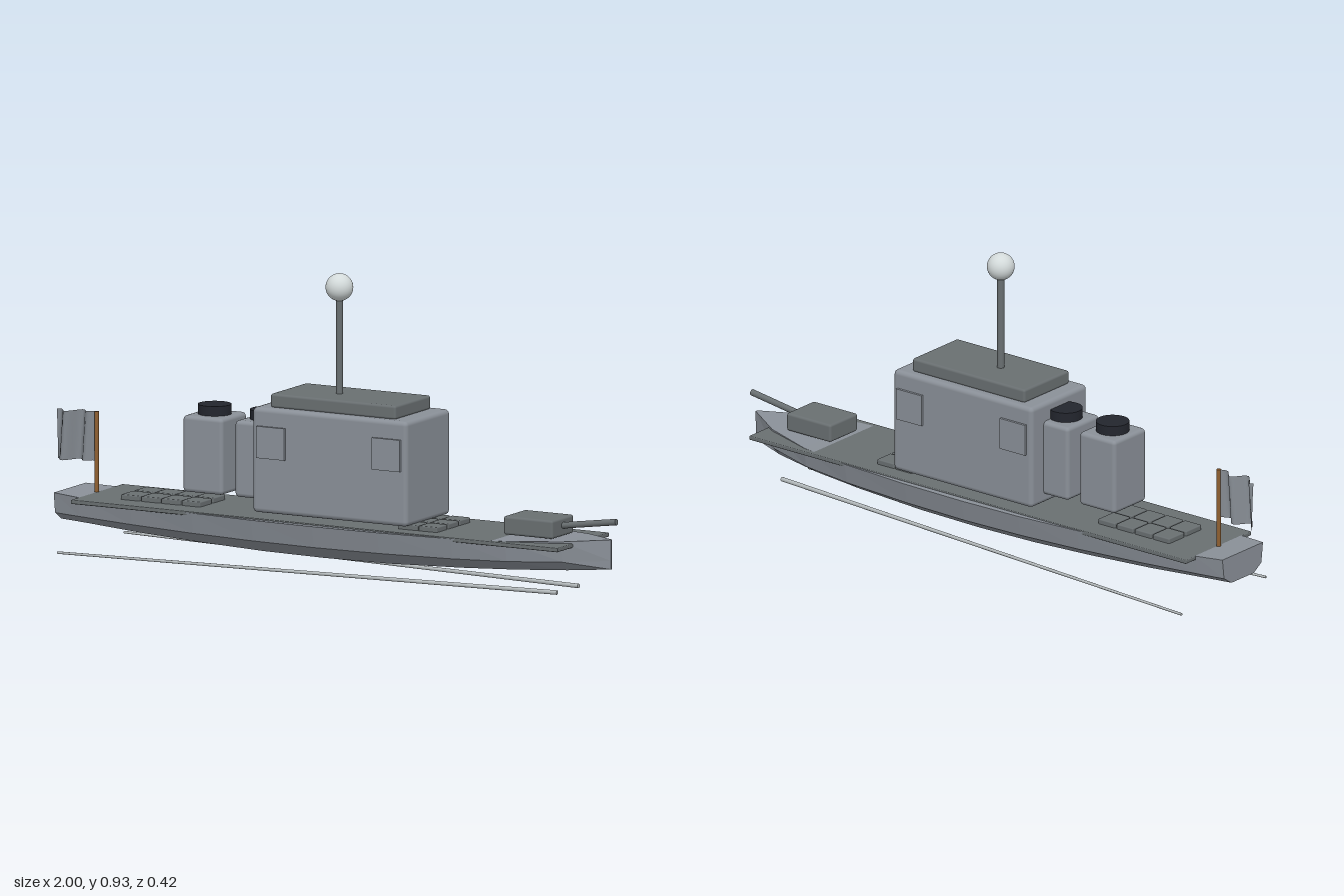
import * as THREE from 'three';
import { RoundedBoxGeometry } from 'three/addons/geometries/RoundedBoxGeometry.js';

const material = (name, color, extra = {}) => {
  const m = new THREE.MeshStandardMaterial({ color, ...extra });
  m.name = name;
  return m;
};

export function createModel() {
  const model = new THREE.Group();
  model.name = 'patrolBoat';

  const hullGrey = material('hullGrey', 0x8a9098);
  const deckGrey = material('deckGrey', 0x696f71);
  const capBlack = material('capBlack', 0x23262e);
  const domeWhite = material('domeWhite', 0xd3dada);
  const wakeGrey = material('wakeGrey', 0xb4babc);
  const poleBrown = material('poleBrown', 0x8f5f30);
  const flagGrey = material('flagGrey', 0x858b92, { side: THREE.DoubleSide });
  hullGrey.flatShading = false;
  const hullFlat = hullGrey;

  const add = (name, geometry, mat, x = 0, y = 0, z = 0) => {
    const mesh = new THREE.Mesh(geometry, mat);
    mesh.name = name;
    mesh.position.set(x, y, z);
    model.add(mesh);
    return mesh;
  };

  // Rounded box given by its limits along each axis
  const block = (name, mat, [x0, x1], [y0, y1], [z0, z1], r) =>
    add(name, new RoundedBoxGeometry(x1 - x0, y1 - y0, z1 - z0, 2, r), mat,
      (x0 + x1) / 2, (y0 + y1) / 2, (z0 + z1) / 2);

  // Tapered rod between two points
  const rod = (name, mat, from, to, r0, r1 = r0) => {
    const a = new THREE.Vector3(...from), b = new THREE.Vector3(...to);
    const dir = b.clone().sub(a);
    const mid = a.clone().add(b).multiplyScalar(0.5);
    const mesh = add(name, new THREE.CylinderGeometry(r1, r0, dir.length(), 16), mat, mid.x, mid.y, mid.z);
    mesh.quaternion.setFromUnitVectors(new THREE.Vector3(0, 1, 0), dir.normalize());
    return mesh;
  };

  // Hull: hard-chined sections from stern to bow
  // [x, deck half-width, deck y, chine y, keel y]
  const stations = [
    [-0.945, 0.1, 0.172, 0.108, 0.084],
    [-0.85, 0.115, 0.167, 0.106, 0.08],
    [-0.65, 0.142, 0.165, 0.102, 0.069],
    [-0.42, 0.165, 0.164, 0.098, 0.06],
    [-0.2, 0.18, 0.163, 0.096, 0.054],
    [0.02, 0.185, 0.163, 0.095, 0.052],
    [0.25, 0.18, 0.163, 0.096, 0.054],
    [0.5, 0.164, 0.164, 0.099, 0.062],
    [0.68, 0.14, 0.168, 0.103, 0.07],
    [0.85, 0.085, 0.173, 0.108, 0.078],
    [0.98, 0.004, 0.178, 0.112, 0.085],
  ];
  const sections = stations.map(([x, w, deck, chine, keel]) => [
    [x, deck, w], [x, chine, w * 0.92], [x, keel, w * 0.55],
    [x, keel, -w * 0.55], [x, chine, -w * 0.92], [x, deck, -w],
  ]);
  const verts = [];
  const tri = (...points) => points.forEach((p) => verts.push(...p));
  for (let i = 0; i < sections.length - 1; i++) {
    for (let j = 0; j < 6; j++) {
      const k = (j + 1) % 6;
      const a = sections[i][j], b = sections[i][k];
      const c = sections[i + 1][k], d = sections[i + 1][j];
      tri(a, b, c);
      tri(a, c, d);
    }
  }
  const stern = sections[0], bow = sections[sections.length - 1];
  for (let j = 1; j < 5; j++) {
    tri(stern[0], stern[j + 1], stern[j]);
    tri(bow[0], bow[j], bow[j + 1]);
  }
  const hull = new THREE.BufferGeometry();
  hull.setAttribute('position', new THREE.Float32BufferAttribute(verts, 3));
  hull.computeVertexNormals();
  add('hull', hull, hullFlat);

  // Deck plate
  block('deckPlate', deckGrey, [-0.85, 0.88], [0.154, 0.167], [-0.162, 0.162], 0.003);

  // Deckhouse, roof and raised side panels
  block('deckhouse', hullGrey, [-0.22, 0.33], [0.18, 0.51], [-0.138, 0.138], 0.015);
  block('roof', deckGrey, [-0.17, 0.275], [0.508, 0.552], [-0.111, 0.111], 0.008);
  for (const side of [1, -1]) {
    for (const x of [-0.15, 0.26]) {
      add('sidePanel', new THREE.BoxGeometry(0.1, 0.1, 0.018), hullGrey, x, 0.403, side * 0.137);
    }
  }

  // Mast and radar dome
  rod('mast', deckGrey, [0.013, 0.54, 0], [0.013, 0.86, 0], 0.011);
  add('radarDome', new THREE.SphereGeometry(0.043, 32, 20), domeWhite, 0.013, 0.885, 0);

  // Funnels with dark caps
  for (const x of [-0.43, -0.245]) {
    block('funnel', hullGrey, [x - 0.071, x + 0.071], [0.21, 0.45], [-0.079, 0.079], 0.013);
    add('funnelCap', new THREE.CylinderGeometry(0.052, 0.052, 0.035, 32), capBlack, x, 0.463, 0);
  }

  // Deck hatches fore and aft
  const hatch = (x, z, w, d) =>
    block('hatch', deckGrey, [x - w / 2, x + w / 2], [0.163, 0.183], [z - d / 2, z + d / 2], 0.004);
  for (let i = 0; i < 4; i++) {
    for (const z of [-0.044, 0.04]) hatch(-0.687 + i * 0.072, z, 0.066, 0.076);
  }
  for (let i = 0; i < 2; i++) {
    for (const z of [-0.072, 0, 0.072]) hatch(0.314 + i * 0.072, z, 0.066, 0.066);
  }

  // Bow gun
  block('gunTurret', deckGrey, [0.633, 0.808], [0.174, 0.232], [-0.068, 0.068], 0.008);
  rod('gunBarrel', deckGrey, [0.78, 0.204, 0], [0.998, 0.235, 0], 0.01);

  // Flagpole and waving flag
  rod('flagpole', poleBrown, [-0.85, 0.16, 0], [-0.85, 0.42, 0], 0.007);
  const flag = new THREE.PlaneGeometry(0.145, 0.155, 18, 8);
  const p = flag.attributes.position;
  for (let i = 0; i < p.count; i++) {
    const u = 0.5 - p.getX(i) / 0.145;
    p.setZ(i, 0.022 * Math.sin(u * Math.PI * 3.6 + p.getY(i) * 6) * Math.min(1, u * 3));
    p.setY(i, p.getY(i) - 0.008 * u);
  }
  flag.computeVertexNormals();
  add('flag', flag, flagGrey, -0.9275, 0.343, 0);

  // Wake lines spreading aft
  for (const side of [1, -1]) {
    rod('wakeLine', wakeGrey, [-0.87, 0.007, side * 0.208], [0.825, 0.009, side * 0.067], 0.004, 0.007);
  }

  return model;
}
